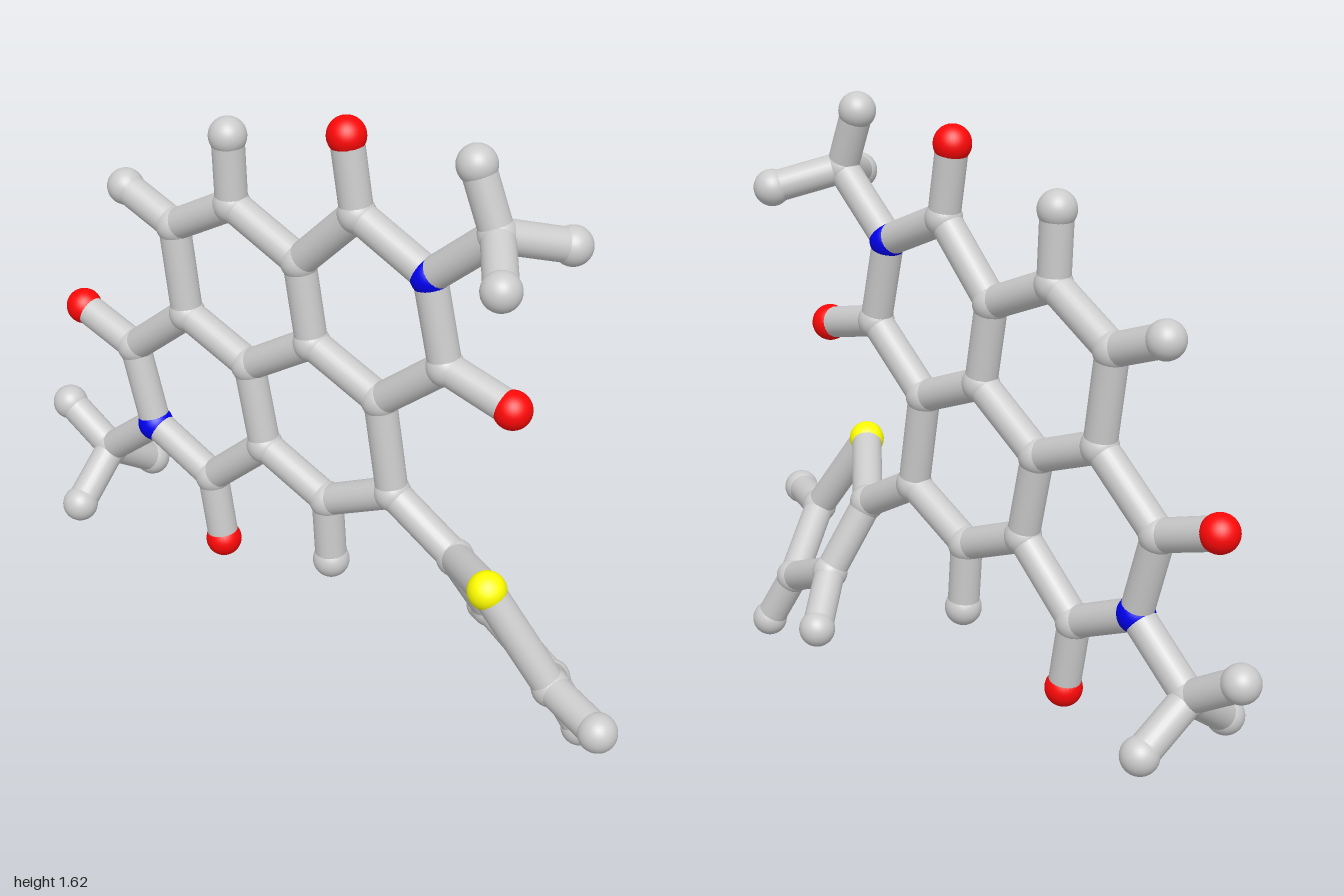
import * as THREE from 'three';

const ATOM_R = 0.049, BOND_R = 0.042;
const COLORS = { C: 0xcccccc, H: 0xcccccc, O: 0xff0808, N: 0x0000f0, S: 0xffff00 };
const NAMES = { C: 'carbon', H: 'hydrogen', O: 'oxygen', N: 'nitrogen', S: 'sulfur' };

// Fused ring core: nearly upright, slightly tilted plane, so z follows from x and y
const CORE = {
  O1: [0.06, 1.555], C1: [0.09, 1.36], N1: [0.305, 1.26], C2: [0.355, 1.03], O2: [0.55, 0.98],
  C3: [0.16, 0.87], C4: [-0.055, 0.96], C5: [-0.09, 1.18], C6: [-0.305, 1.275], H6: [-0.31, 1.46],
  C7: [-0.505, 1.16], H7: [-0.67, 1.225], C8: [-0.475, 0.91], C9: [-0.265, 0.825],
  C10: [-0.22, 0.595], C11: [-0.01, 0.505], H11: [0, 0.32], C12: [0.2, 0.61],
  C13: [-0.675, 0.745], O3: [-0.86, 0.81], N2: [-0.615, 0.52], C14: [-0.41, 0.425], O4: [-0.38, 0.23],
};

// Side groups, turned out of the core plane
const SIDE = {
  C20: [0.49, 1.42, 0.018], H20: [0.43, 1.58, 0.025], H21: [0.605, 1.37, 0.16], H22: [0.595, 1.37, -0.135],
  C30: [-0.8, 0.37, 0.052], H30: [-0.953, 0.465, 0.06], H31: [-0.78, 0.26, 0.205], H32: [-0.793, 0.265, -0.1],
  C15: [0.4, 0.495, 0.015], S1: [0.615, 0.58, 0.178], C16: [0.775, 0.335, 0.12], H16: [0.95, 0.325, 0.18],
  C17: [0.66, 0.2, -0.06], H17: [0.73, 0.053, -0.1], C18: [0.44, 0.3, -0.09], H18: [0.34, 0.2, -0.21],
};

// Each chain lists atoms joined one after the other
const CHAINS = {
  ringBond: [
    'C1 N1 C2 C3 C4 C5 C1', 'C5 C6 C7 C8 C9 C4', 'C9 C10 C11 C12 C3', 'C8 C13 N2 C14 C10',
  ],
  oxygenBond: ['C1 O1', 'C2 O2', 'C13 O3', 'C14 O4'],
  hydrogenBond: ['C6 H6', 'C7 H7', 'C11 H11'],
  methylBond: ['N1 C20 H20', 'H21 C20 H22', 'N2 C30 H30', 'H31 C30 H32'],
  sideRingBond: ['C12 C15 S1 C16 C17 C18 C15', 'C16 H16', 'C17 H17', 'C18 H18'],
};

export function createModel() {
  const model = new THREE.Group();
  model.name = 'molecule';

  const materials = {};
  for (const key in COLORS) materials[key] = new THREE.MeshStandardMaterial({ color: COLORS[key] });

  const positions = {};
  for (const [key, [x, y]] of Object.entries(CORE)) {
    positions[key] = new THREE.Vector3(x, y, 0.021 - 0.0395 * x + 0.0125 * y);
  }
  for (const [key, p] of Object.entries(SIDE)) positions[key] = new THREE.Vector3(...p);

  // Atoms
  const ball = new THREE.SphereGeometry(ATOM_R, 32, 20);
  const atoms = new THREE.Group();
  atoms.name = 'atoms';
  for (const [key, p] of Object.entries(positions)) {
    const atom = new THREE.Mesh(ball, materials[key[0]]);
    atom.name = NAMES[key[0]] + 'Atom';
    atom.position.copy(p);
    atoms.add(atom);
  }

  // Bonds: open rods whose ends are hidden inside the atoms
  const rod = new THREE.CylinderGeometry(BOND_R, BOND_R, 1, 24, 1, true);
  const up = new THREE.Vector3(0, 1, 0);
  const bonds = new THREE.Group();
  bonds.name = 'bonds';
  for (const [name, chains] of Object.entries(CHAINS)) {
    for (const chain of chains) {
      const keys = chain.split(' ');
      for (let i = 1; i < keys.length; i++) {
        const a = positions[keys[i - 1]], b = positions[keys[i]];
        const dir = b.clone().sub(a);
        const bond = new THREE.Mesh(rod, materials.C);
        bond.name = name;
        bond.position.copy(a).add(b).multiplyScalar(0.5);
        bond.scale.y = dir.length();
        bond.quaternion.setFromUnitVectors(up, dir.normalize());
        bonds.add(bond);
      }
    }
  }

  model.add(atoms, bonds);
  return model;
}
